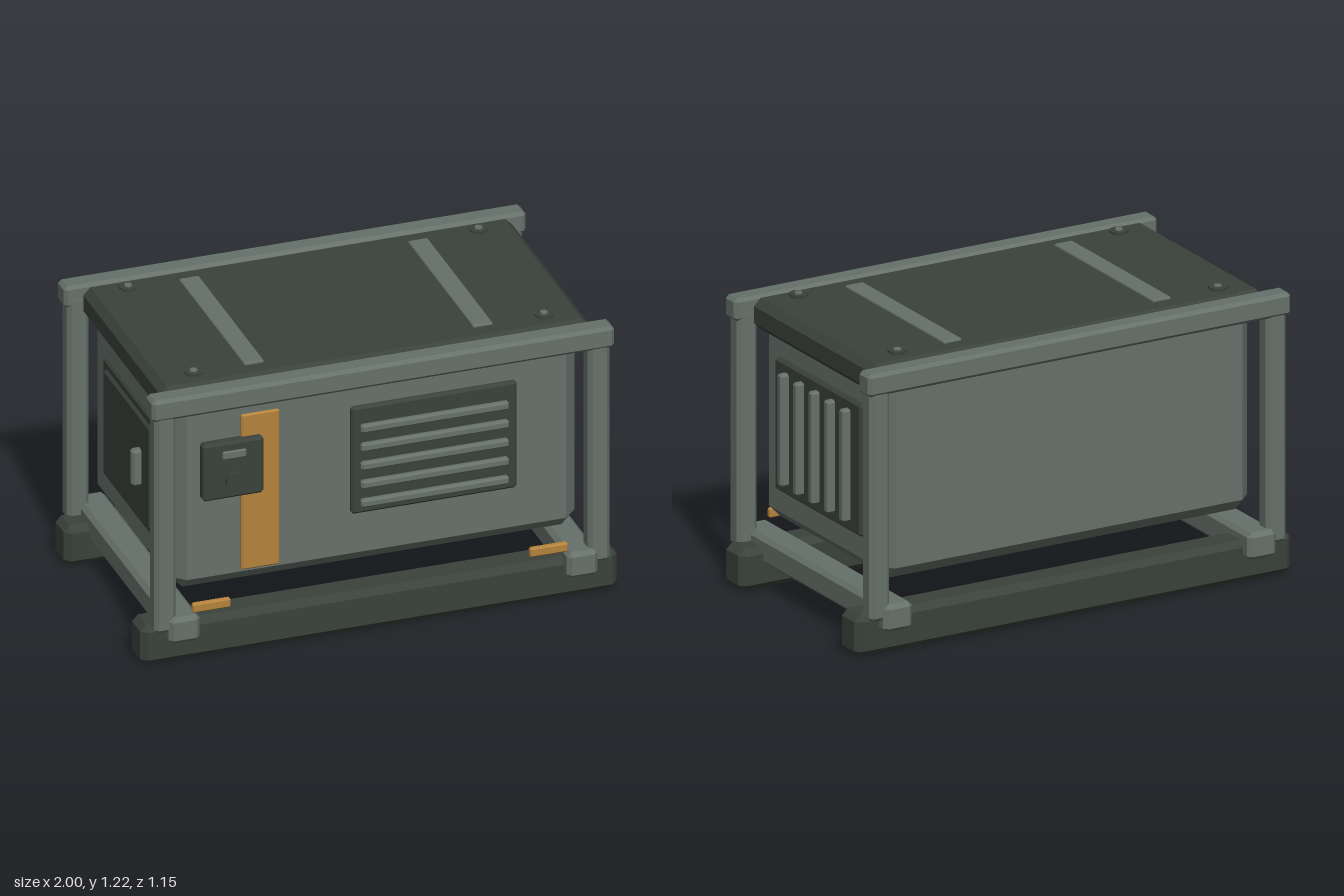
import * as THREE from 'three';
import { ConvexGeometry } from 'three/addons/geometries/ConvexGeometry.js';

const material = (name, color) => {
  const m = new THREE.MeshStandardMaterial({ color });
  m.name = name;
  return m;
};

// Box with every edge cut at 45 degrees
function chamferBox(w, h, d, c) {
  const points = [];
  for (const sx of [-1, 1]) for (const sy of [-1, 1]) for (const sz of [-1, 1]) {
    const x = w / 2, y = h / 2, z = d / 2;
    points.push(
      new THREE.Vector3(sx * x, sy * (y - c), sz * (z - c)),
      new THREE.Vector3(sx * (x - c), sy * y, sz * (z - c)),
      new THREE.Vector3(sx * (x - c), sy * (y - c), sz * z));
  }
  return new ConvexGeometry(points);
}

export function createModel() {
  const grey = material('grey green paint', 0x66716a);
  const dark = material('dark green paint', 0x3a423b);
  const orange = material('ochre paint', 0xb5833c);
  const model = new THREE.Group();
  model.name = 'generator';

  const add = (name, geometry, mat, x = 0, y = 0, z = 0) => {
    const mesh = new THREE.Mesh(geometry, mat);
    mesh.name = name;
    mesh.position.set(x, y, z);
    model.add(mesh);
    return mesh;
  };
  // Chamfered block given by its [min, max] on each axis
  const block = (name, mat, [x0, x1], [y0, y1], [z0, z1], c) =>
    add(name, chamferBox(x1 - x0, y1 - y0, z1 - z0, c), mat,
      (x0 + x1) / 2, (y0 + y1) / 2, (z0 + z1) / 2);

  // Housing and roof
  block('housing', grey, [-0.85, 0.85], [0.275, 1.13], [-0.475, 0.475], 0.055);
  block('roof', dark, [-0.9, 0.9], [1.065, 1.195], [-0.48, 0.48], 0.03);

  // Carrying frame: skids, top rails, posts and cross beams
  for (const s of [-1, 1]) {
    add('skid', chamferBox(2, 0.175, 0.145, 0.026), dark, 0, 0.0875, s * 0.45);
    add('topRail', chamferBox(1.94, 0.095, 0.09, 0.014), grey, 0, 1.148, s * 0.52);
    add('crossBeam', chamferBox(0.13, 0.115, 1.146, 0.018), grey, s * 0.835, 0.16, 0);
    for (const t of [-1, 1])
      add('post', chamferBox(0.092, 1.0, 0.082, 0.017), grey, s * 0.91, 0.65, t * 0.515);
  }

  // Roof strips and lifting bolts
  for (const s of [-1, 1]) {
    add('roofStrip', chamferBox(0.083, 0.02, 0.77, 0.004), grey, s * 0.48, 1.195, 0);
    for (const t of [-1, 1]) {
      const x = s * 0.735, z = t * 0.385;
      add('boltNeck', new THREE.CylinderGeometry(0.028, 0.028, 0.012, 12), dark, x, 1.199, z);
      add('boltWasher', new THREE.CylinderGeometry(0.038, 0.038, 0.008, 12), dark, x, 1.207, z);
      add('boltHead', new THREE.CylinderGeometry(0.016, 0.018, 0.008, 6), grey, x, 1.213, z);
    }
  }

  // Front: painted stripe and control box
  block('stripe', orange, [-0.57, -0.408], [0.34, 1.03], [0.468, 0.486], 0.006);
  block('controlBox', dark, [-0.74, -0.485], [0.685, 0.935], [0.45, 0.515], 0.01);
  block('display', grey, [-0.66, -0.56], [0.862, 0.898], [0.505, 0.522], 0.005);
  const knob = add('knob', new THREE.CylinderGeometry(0.038, 0.038, 0.03, 16), dark, -0.61, 0.765, 0.517);
  knob.rotation.x = Math.PI / 2;

  // Front: louvred vent
  block('frontVent', dark, [-0.11, 0.585], [0.51, 0.985], [0.455, 0.495], 0.01);
  for (let i = 0; i < 5; i++)
    add('frontLouvre', chamferBox(0.62, 0.036, 0.035, 0.008), grey, 0.235, 0.56 + i * 0.083, 0.498);

  // Markers above the front skid
  for (const x of [-0.72, 0.695])
    add('marker', chamferBox(0.16, 0.04, 0.025, 0.006), orange, x, 0.245, 0.55);

  // Side vent with upright ribs
  block('sideVent', dark, [0.83, 0.875], [0.43, 0.985], [-0.335, 0.335], 0.01);
  for (let i = -2; i <= 2; i++)
    add('sideRib', chamferBox(0.05, 0.47, 0.036, 0.008), grey, 0.885, 0.71, i * 0.12);

  // Opposite side: access door and handle
  block('doorFrame', dark, [-0.868, -0.83], [0.43, 0.955], [-0.31, 0.31], 0.01);
  block('door', dark, [-0.88, -0.84], [0.465, 0.92], [-0.275, 0.275], 0.01);
  block('doorHandle', grey, [-0.918, -0.87], [0.62, 0.78], [0.14, 0.18], 0.01);

  return model;
}
